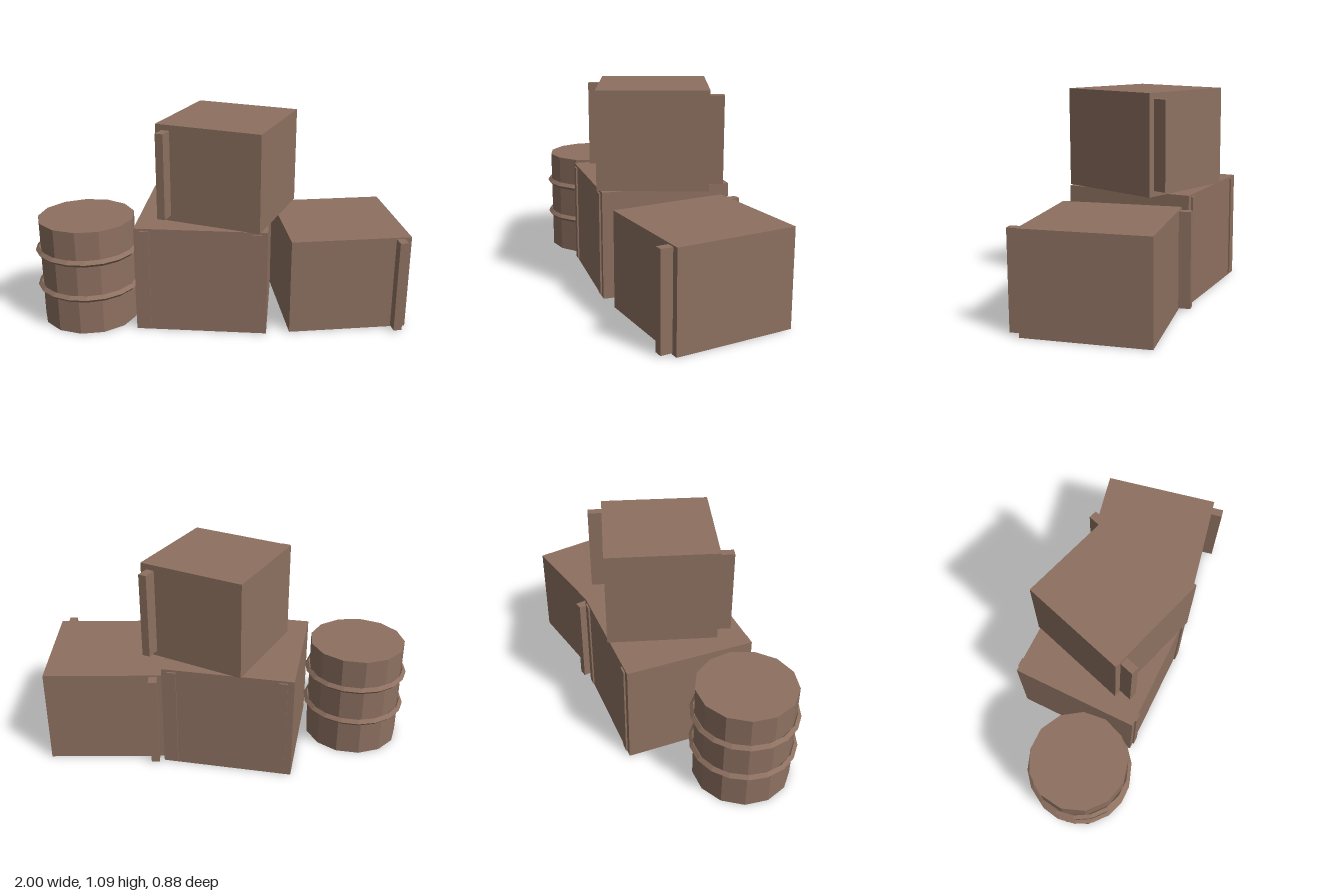
import * as THREE from 'three';

const brown = new THREE.MeshStandardMaterial({ color: 0x8d7060, flatShading: true });
brown.name = 'brown';

function part(name, geometry, x, y, z, parent) {
  const mesh = new THREE.Mesh(geometry, brown);
  mesh.name = name;
  mesh.position.set(x, y, z);
  parent.add(mesh);
  return mesh;
}

// A crate standing on its group's origin, with upright battens on the front and back.
// battens: list of [x, side], side +1 for the front and -1 for the back
function crate(name, w, h, d, batten, battens) {
  const group = new THREE.Group();
  group.name = name;
  part('crateBody', new THREE.BoxGeometry(w, h, d), 0, h / 2, 0, group);
  const embed = 0.01;
  for (const [x, side] of battens) {
    const depth = batten.out + embed;
    const z = side * (d / 2 - embed + depth / 2);
    part('batten', new THREE.BoxGeometry(batten.width, batten.height, depth), x, h / 2, z, group);
  }
  return group;
}

function barrel() {
  const group = new THREE.Group();
  group.name = 'barrel';
  const h = 0.575;
  part('barrelBody', new THREE.CylinderGeometry(0.257, 0.257, h, 13), 0, h / 2, 0, group);
  // Diamond-section hoops
  for (const y of [0.204, 0.404]) {
    const hoop = new THREE.TorusGeometry(0.26, 0.018, 4, 18).rotateX(Math.PI / 2);
    part('hoop', hoop, 0, y, 0, group);
  }
  return group;
}

export function createModel() {
  const model = new THREE.Group();
  model.name = 'crateStack';

  // Straight crate with four shallow battens
  const base = crate('baseCrate', 0.69, 0.575, 0.685,
    { width: 0.045, height: 0.55, out: 0.009 },
    [[-0.29, 1], [0.29, 1], [-0.29, -1], [0.29, -1]]);
  base.position.set(-0.09, 0, -0.012);

  // Turned crate beside it, battens on opposite corners
  const side = crate('sideCrate', 0.632, 0.515, 0.632,
    { width: 0.044, height: 0.5, out: 0.062 }, [[0.258, 1], [-0.258, -1]]);
  side.position.set(0.624, 0, -0.07);
  side.rotation.y = 0.2;

  // Turned crate on top
  const top = crate('topCrate', 0.572, 0.515, 0.572,
    { width: 0.044, height: 0.456, out: 0.074 }, [[-0.23, 1], [0.23, -1]]);
  top.position.set(0.026, 0.575, -0.008);
  top.rotation.y = -0.3;

  const drum = barrel();
  drum.position.set(-0.721, 0, 0.161);

  model.add(base, side, top, drum);
  return model;
}
